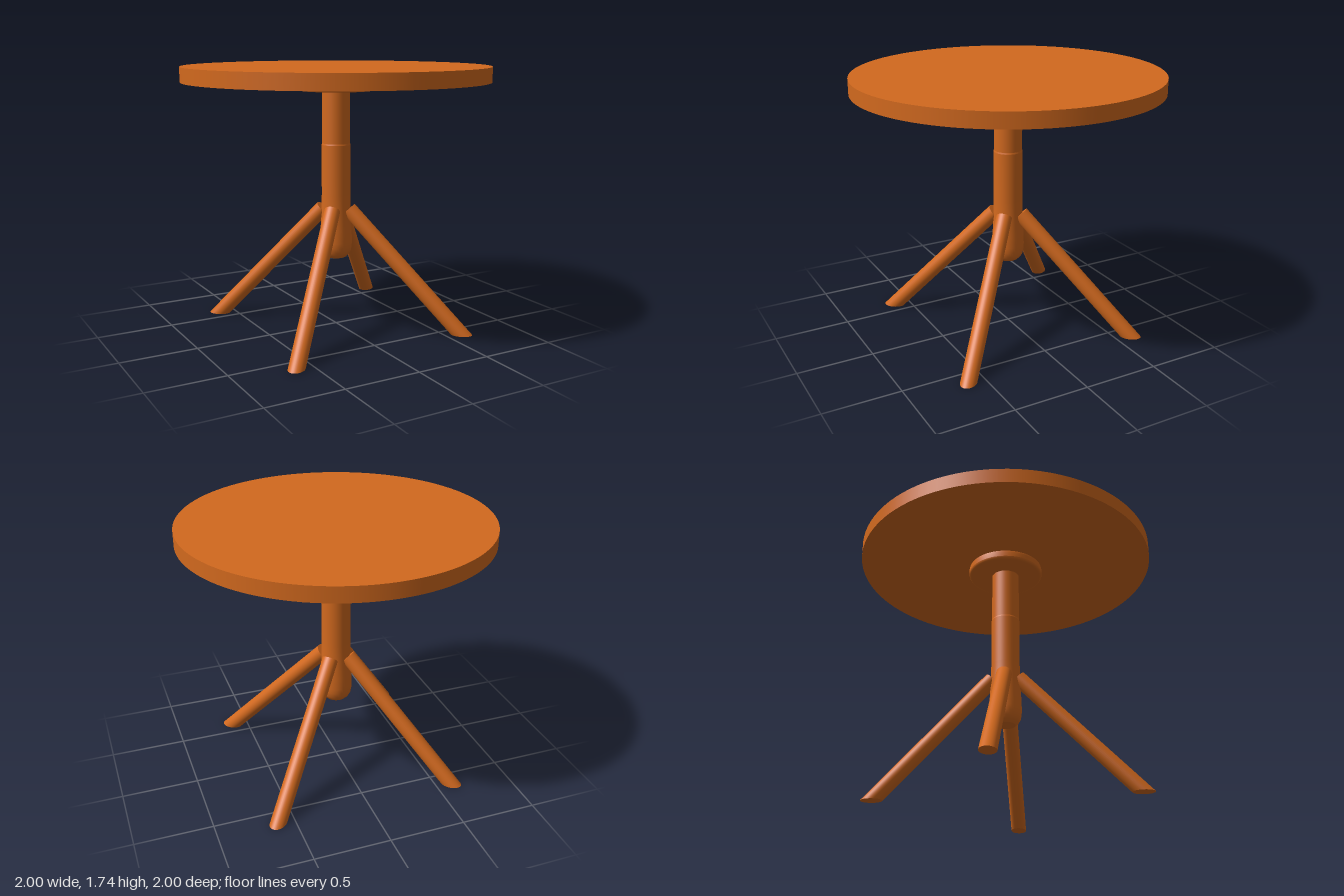
import * as THREE from 'three';

const wood = new THREE.MeshStandardMaterial({ color: 0xd2691e });
wood.name = 'orange wood';

function addMesh(group, name, geometry) {
  const mesh = new THREE.Mesh(geometry, wood);
  mesh.name = name;
  group.add(mesh);
  return mesh;
}

// Turned part; each run of points is smooth, runs meet in sharp edges
function turned(group, name, runs, segments) {
  const part = new THREE.Group();
  part.name = name;
  runs.forEach((run, i) => {
    const points = run.map(([r, y]) => new THREE.Vector2(r, y));
    addMesh(part, `${name}Surface${i + 1}`, new THREE.LatheGeometry(points, segments));
  });
  group.add(part);
}

// Round leg with a square-cut top and a foot sliced flat on the floor
function legGeometry(top, foot, radius) {
  const axis = top.clone().sub(foot);
  const length = axis.length();
  axis.normalize();
  const geo = new THREE.CylinderGeometry(radius, radius, length, 32);
  geo.translate(0, length / 2, 0);
  geo.applyQuaternion(new THREE.Quaternion().setFromUnitVectors(new THREE.Vector3(0, 1, 0), axis));
  geo.translate(foot.x, foot.y, foot.z);
  const pos = geo.attributes.position;
  const nor = geo.attributes.normal;
  const p = new THREE.Vector3();
  const n = new THREE.Vector3();
  for (let i = 0; i < pos.count; i++) {
    p.fromBufferAttribute(pos, i);
    n.fromBufferAttribute(nor, i);
    if (p.y < 0.2) {
      // slide the lower ring along the leg until it meets the floor
      p.addScaledVector(axis, -p.y / axis.y);
      pos.setXYZ(i, p.x, 0, p.z);
      if (n.dot(axis) < -0.9) nor.setXYZ(i, 0, -1, 0);
    }
  }
  return geo;
}

export function createModel() {
  const table = new THREE.Group();
  table.name = 'roundPedestalTable';

  // Round top
  const top = addMesh(table, 'tableTop', new THREE.CylinderGeometry(1, 1, 0.098, 96));
  top.position.y = 1.694;

  // Mounting plate with a softened lower rim
  turned(table, 'mountingPlate', [
    [[0, 1.585], [0.238, 1.585]],
    [[0.238, 1.585], [0.246, 1.588], [0.251, 1.594], [0.253, 1.602]],
    [[0.253, 1.602], [0.253, 1.632], [0.25, 1.645]],
  ], 64);

  // Column, swelling slightly towards its rounded lower end
  turned(table, 'column', [
    [[0, 0.472], [0.066, 0.472]],
    [[0.066, 0.472], [0.086, 0.49], [0.099, 0.513], [0.105, 0.545], [0.107, 0.58],
      [0.104, 0.66], [0.097, 0.78], [0.095, 0.9], [0.095, 1.23]],
    [[0.095, 1.23], [0.092, 1.24]],
    [[0.092, 1.24], [0.092, 1.6]],
  ], 48);

  // Four splayed legs on the diagonals
  for (const x of [1, -1]) {
    for (const z of [1, -1]) {
      const name = `${z > 0 ? 'front' : 'back'}${x > 0 ? 'Left' : 'Right'}Leg`;
      addMesh(table, name, legGeometry(
        new THREE.Vector3(0.063 * x, 0.8, 0.063 * z),
        new THREE.Vector3(0.606 * x, 0, 0.606 * z),
        0.052,
      ));
    }
  }
  return table;
}
